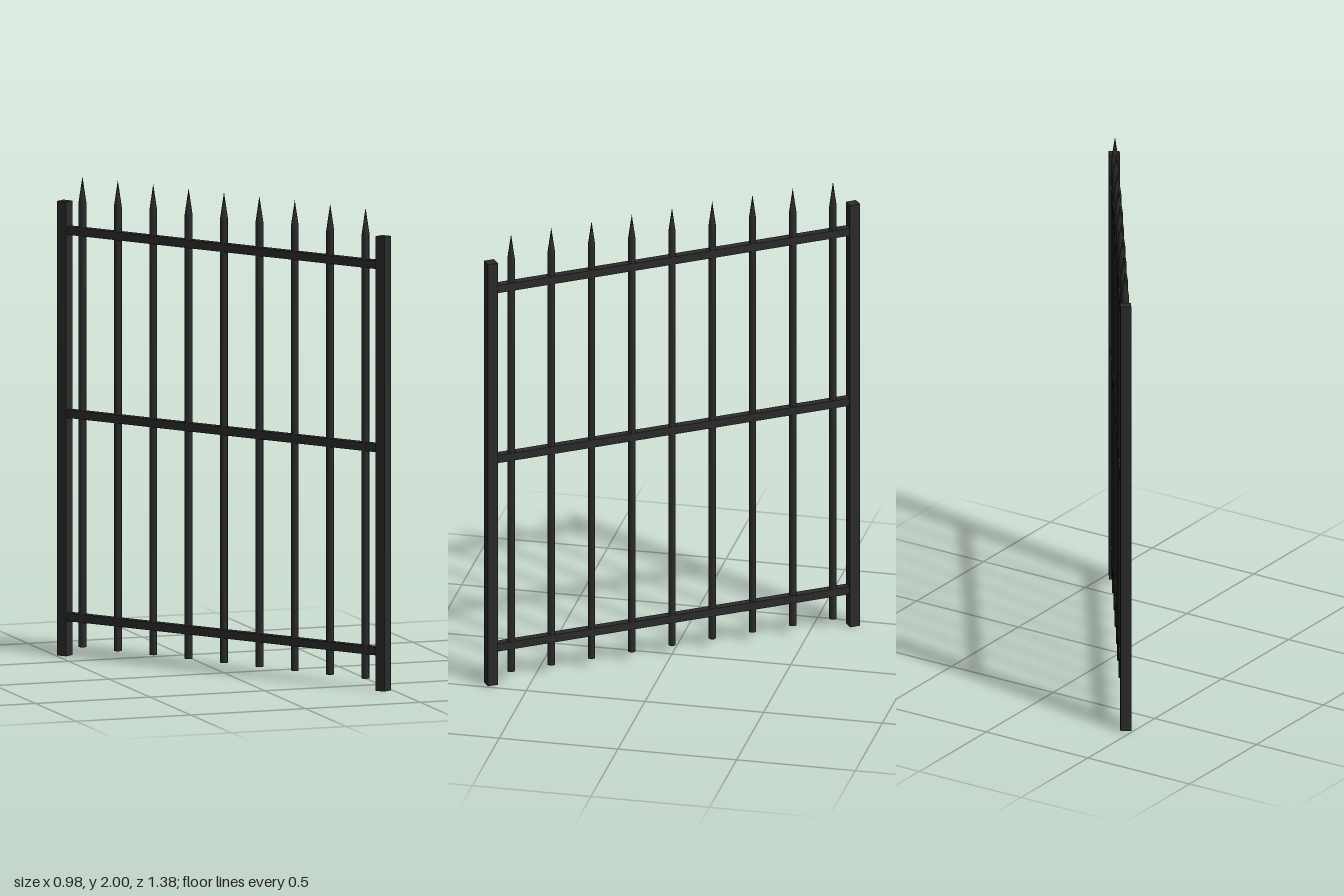
import * as THREE from 'three';

export function createModel() {
  const model = new THREE.Group();
  model.name = 'fencePanel';
  const iron = new THREE.MeshStandardMaterial({ color: 0x2b2b2b });
  iron.name = 'blackIron';

  // The panel is laid out along x, then turned on the spot
  const panel = new THREE.Group();
  panel.name = 'panel';
  panel.rotation.y = -THREE.MathUtils.degToRad(55);
  model.add(panel);

  const add = (name, geometry, x, y) => {
    const mesh = new THREE.Mesh(geometry, iron);
    mesh.name = name;
    mesh.position.set(x, y, 0);
    panel.add(mesh);
  };

  // End posts
  const postX = 0.803, postHeight = 1.89;
  const postGeometry = new THREE.BoxGeometry(0.045, postHeight, 0.045);
  add('leftPost', postGeometry, postX, postHeight / 2);
  add('rightPost', postGeometry, -postX, postHeight / 2);

  // Horizontal rails
  const railGeometry = new THREE.BoxGeometry(postX * 2, 0.034, 0.034);
  [['bottomRail', 0.163], ['middleRail', 1.008], ['topRail', 1.77]]
    .forEach(([name, y]) => add(name, railGeometry, 0, y));

  // Upright bars with pointed tips
  const barBottom = 0.043, barTop = 1.89, radius = 0.0165;
  const barGeometry = new THREE.CylinderGeometry(radius, radius, barTop - barBottom, 8);
  const spikeGeometry = new THREE.ConeGeometry(radius, 2 - barTop, 8);
  for (let i = -4; i <= 4; i++) {
    const x = i * 0.1785;
    add('bar', barGeometry, x, (barBottom + barTop) / 2);
    add('spike', spikeGeometry, x, (barTop + 2) / 2);
  }
  return model;
}
